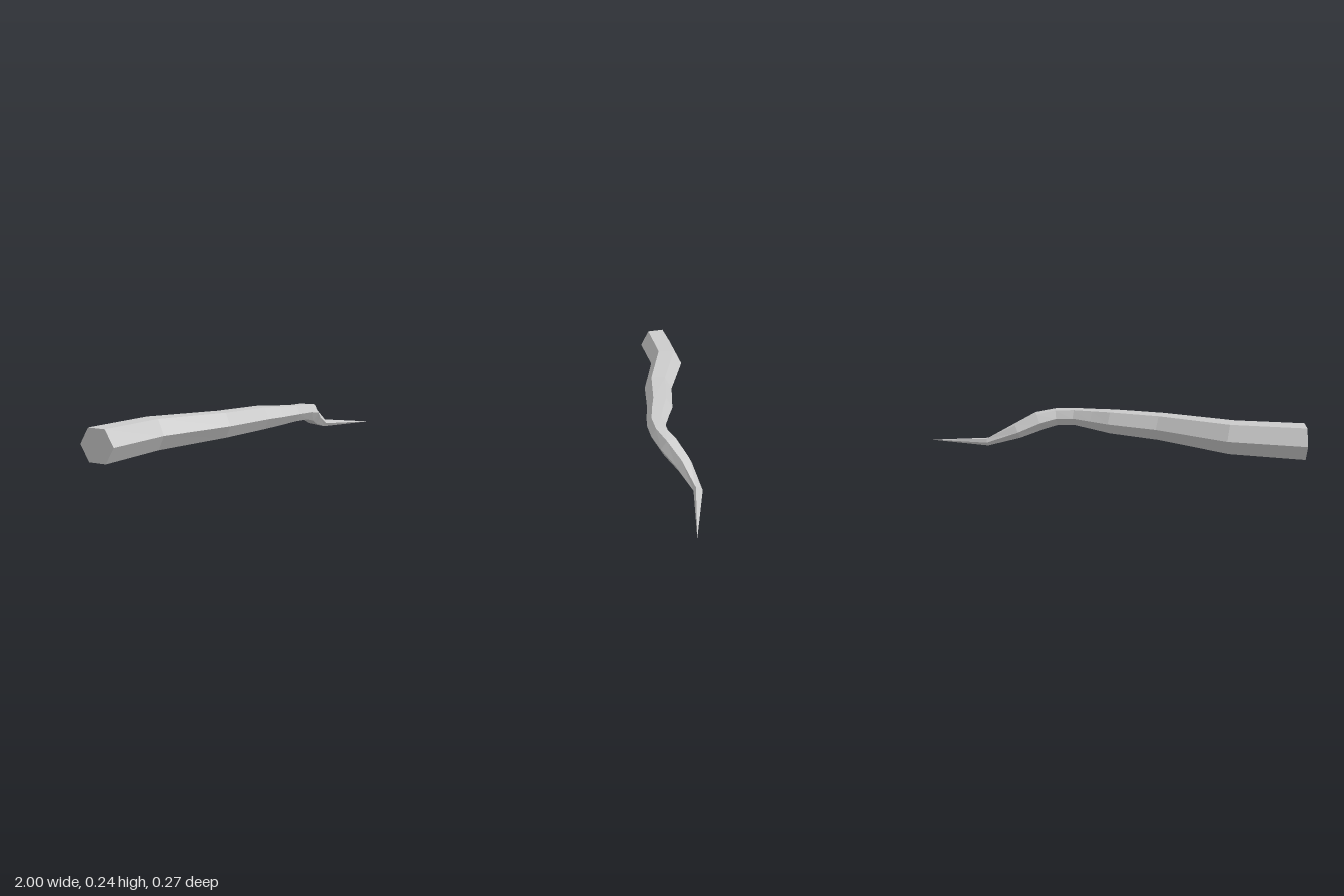
import * as THREE from 'three';

// Centre line of the branch: x, y, z and radius of each hexagonal ring
const RINGS = [
  [-0.978, 0.167, -0.028, 0.09],
  [-0.63, 0.167, -0.054, 0.085],
  [-0.26, 0.168, 0.03, 0.071],
  [0, 0.168, 0.049, 0.064],
  [0.1, 0.167, 0.07, 0.055],
  [0.21, 0.167, 0.088, 0.046],
  [0.31, 0.161, 0.079, 0.046],
  [0.402, 0.14, 0.042, 0.051],
  [0.5, 0.095, -0.01, 0.042],
  [0.648, 0.035, -0.056, 0.021],
];
const TIP = [1, 0, -0.003];
const SIDES = 6;

export function createModel() {
  const group = new THREE.Group();
  const centres = [...RINGS.map(r => new THREE.Vector3(r[0], r[1], r[2])), new THREE.Vector3(...TIP)];
  const up = new THREE.Vector3(0, 1, 0);
  const positions = [];
  const index = [];

  // Rings stand square to the centre line, with a flat side on top
  RINGS.forEach((ring, i) => {
    const t = i === 0
      ? new THREE.Vector3(0.97, 0, -0.25)
      : centres[i + 1].clone().sub(centres[i - 1]);
    t.normalize();
    const side = t.clone().cross(up).normalize();
    const rise = side.clone().cross(t);
    for (let k = 0; k < SIDES; k++) {
      const a = (k / SIDES) * Math.PI * 2;
      const p = centres[i].clone()
        .addScaledVector(side, Math.cos(a) * ring[3])
        .addScaledVector(rise, Math.sin(a) * ring[3]);
      positions.push(p.x, p.y, p.z);
    }
  });
  const tip = RINGS.length * SIDES;
  positions.push(...TIP);

  // Sides, pointed tip and cut end
  for (let k = 0; k < SIDES; k++) {
    const n = (k + 1) % SIDES;
    for (let i = 0; i < RINGS.length - 1; i++) {
      const a = i * SIDES + k, b = i * SIDES + n;
      index.push(a, a + SIDES, b, b, a + SIDES, b + SIDES);
    }
    const last = (RINGS.length - 1) * SIDES;
    index.push(last + k, tip, last + n);
    if (k > 0 && k < SIDES - 1) index.push(0, k, k + 1);
  }

  const indexed = new THREE.BufferGeometry();
  indexed.setAttribute('position', new THREE.Float32BufferAttribute(positions, 3));
  indexed.setIndex(index);
  const geometry = indexed.toNonIndexed();
  geometry.computeVertexNormals();

  const branch = new THREE.Mesh(geometry,
    new THREE.MeshStandardMaterial({ color: 0xcccccc, flatShading: true }));
  branch.name = 'taperedBranch';
  group.add(branch);
  return group;
}
